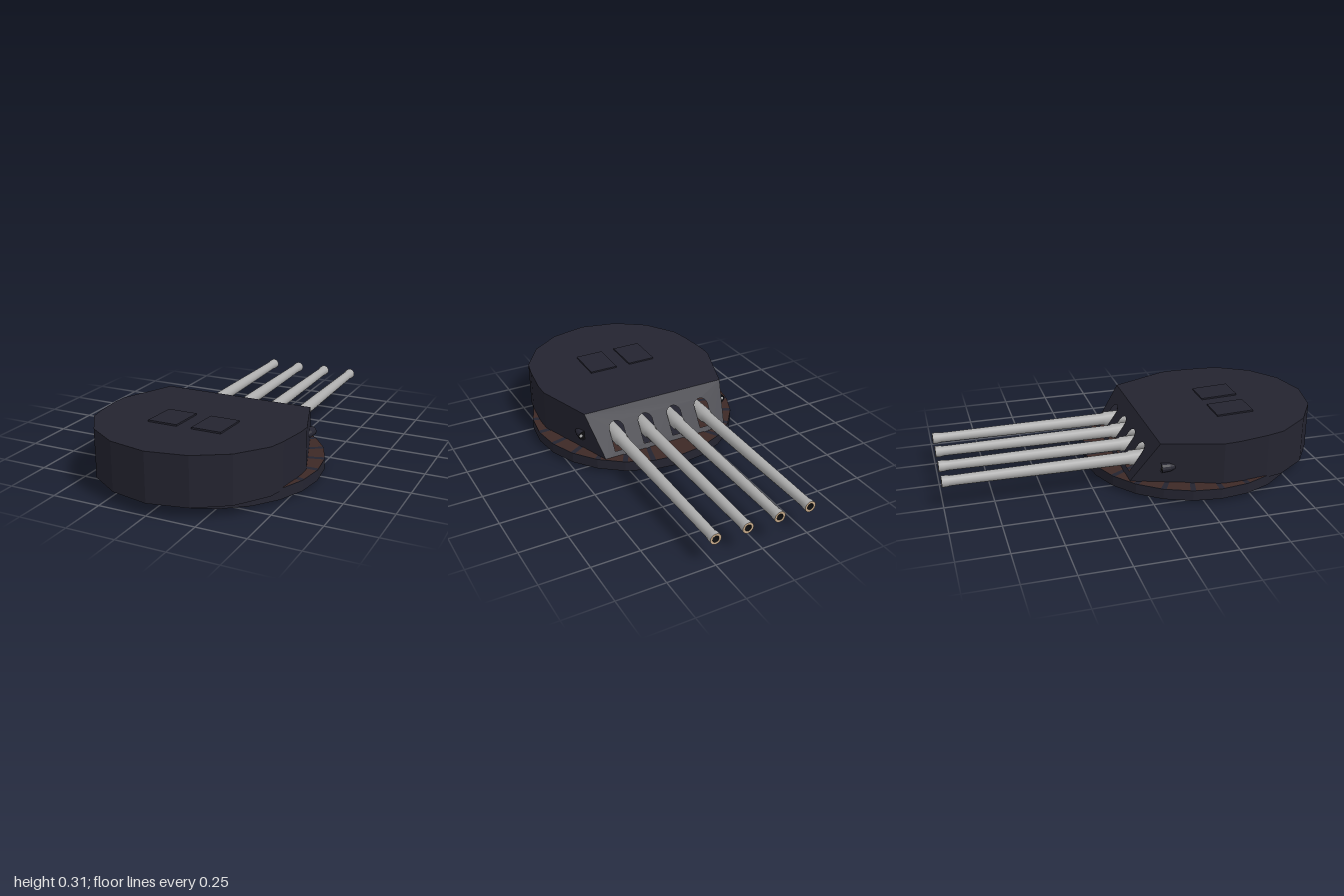
import * as THREE from 'three';

const mat = (name, color, side = THREE.FrontSide, flat = false) => {
  const m = new THREE.MeshStandardMaterial({ color, side, flatShading: flat });
  m.name = name;
  return m;
};

export function createModel() {
  const group = new THREE.Group();
  const navy = mat('dark navy paint', 0x242430, THREE.DoubleSide, true);
  const brown = mat('brown deck', 0x3e2926, THREE.DoubleSide);
  const steel = mat('gun steel', 0xadadad, THREE.DoubleSide);
  const tan = mat('tan metal', 0xc4a888, THREE.DoubleSide);
  const black = mat('bore black', 0x0e0e10, THREE.DoubleSide);
  const add = (name, geo, m, x = 0, y = 0, z = 0, parent = group) => {
    const mesh = new THREE.Mesh(geo, m);
    mesh.name = name;
    mesh.position.set(x, y, z);
    parent.add(mesh);
    return mesh;
  };

  // Round base: 24-sided platform, and the thin bearing ring under it
  const cz = 0.335, sides = 24, R = 0.56;
  add('basePlatform', new THREE.CylinderGeometry(R, R, 0.055, sides), navy, 0, 0.0425, cz);
  add('bearingRing', new THREE.LatheGeometry(
    [[0.488, 0.016], [0.488, 0], [0.497, 0], [0.497, 0.016]].map(p => new THREE.Vector2(...p)), 32), tan, 0, 0, cz);
  add('bearingFloor', new THREE.CylinderGeometry(0.488, 0.488, 0.012, 32), navy, 0, 0.01, cz);

  // Brown deck panels, leaving narrow dark seams between them
  const step = Math.PI * 2 / sides, gap = 0.025;
  const inset = R * Math.cos(step / 2) / Math.cos(step / 2 - gap);
  for (let i = 0; i < sides; i++) {
    const a = i * step + gap, b = (i + 1) * step - gap;
    const at = (r, t) => new THREE.Vector2(r * Math.sin(t), r * Math.cos(t));
    const panel = new THREE.ShapeGeometry(new THREE.Shape([at(0.38, a), at(inset, a), at(inset, b), at(0.38, b)]));
    panel.rotateX(-Math.PI / 2);
    add('deckPanel', panel, brown, 0, 0.072, cz);
  }

  // Gunhouse walls and sloping roof, from half an outline mirrored
  const roofY = z => 0.28 + (z - 0.06) * 0.032;
  const half = [[0.355, -0.09], [0.51, 0.36], [0.51, 0.44], [0.49, 0.6], [0.47, 0.69], [0.36, 0.85], [0.2, 0.955]];
  const outline = [...half, [0, 0.997], ...half.slice().reverse().map(([x, z]) => [-x, z])];
  const bottom = outline.map(([x, z]) => [x, 0.06, z]);
  const top = outline.map(([x, z]) => z < 0 ? [Math.sign(x) * 0.407, 0.28, 0.06] : [x, roofY(z), z]);
  const pos = [];
  for (let i = 0; i < outline.length - 1; i++) {
    pos.push(...bottom[i + 1], ...bottom[i], ...top[i], ...bottom[i + 1], ...top[i], ...top[i + 1]);
    if (i > 0) {
      pos.push(...top[0], ...top[i + 1], ...top[i]);
      pos.push(...bottom[0], ...bottom[i], ...bottom[i + 1]);
    }
  }
  const house = new THREE.BufferGeometry();
  house.setAttribute('position', new THREE.Float32BufferAttribute(pos, 3));
  house.computeVertexNormals();
  add('gunhouse', house, navy);

  // Sloped front plate with a rounded port for each gun
  const gunX = [-0.255, -0.086, 0.086, 0.255];
  const len = Math.hypot(0.22, 0.15);
  const plate = new THREE.Shape([[-0.355, 0], [0.355, 0], [0.407, len], [-0.407, len]].map(p => new THREE.Vector2(...p)));
  for (const x of gunX) {
    const port = new THREE.Path();
    port.moveTo(x - 0.041, 0.04);
    port.lineTo(x - 0.041, 0.155);
    port.absarc(x, 0.155, 0.041, Math.PI, 0, true);
    port.lineTo(x + 0.041, 0.04);
    port.closePath();
    plate.holes.push(port);
  }
  add('frontPlate', new THREE.ShapeGeometry(plate, 8), navy, 0, 0.06, -0.09).rotation.x = Math.atan2(0.15, 0.22);

  // Four guns: collar, tapering barrel, flared muzzle with an open bore
  const barrel = new THREE.LatheGeometry([[0, -0.12], [0.039, -0.12], [0.039, 0.055], [0.033, 0.065], [0.031, 0.4],
    [0.026, 0.92], [0.026, 0.96], [0.029, 0.975], [0.029, 1]].map(p => new THREE.Vector2(...p)), 16);
  const flat = [barrel.toNonIndexed()][0];
  flat.computeVertexNormals();
  barrel.rotateX(-Math.PI / 2);
  const rim = new THREE.RingGeometry(0.017, 0.029, 16).rotateY(Math.PI);
  const bore = new THREE.CylinderGeometry(0.017, 0.017, 0.06, 16, 1, true).rotateX(Math.PI / 2);
  const boreEnd = new THREE.CircleGeometry(0.017, 16).rotateY(Math.PI);
  for (const x of gunX) {
    const gun = new THREE.Group();
    gun.name = 'gun';
    gun.position.set(x, 0.148, 0);
    group.add(gun);
    add('barrel', barrel, steel, 0, 0, 0, gun);
    add('muzzleRim', rim, tan, 0, 0, -1, gun);
    add('bore', bore, black, 0, 0, -0.97, gun);
    add('boreEnd', boreEnd, black, 0, 0, -0.94, gun);
  }

  // Roof hatches
  for (const s of [-1, 1]) {
    add('roofHatch', new THREE.BoxGeometry(0.155, 0.012, 0.2), navy, s * 0.117, 0.2975, 0.54).rotation.x = -0.035;
  }

  // Hooded sights on both side walls
  const hood = new THREE.LatheGeometry([[0, -0.085], [0.014, -0.07], [0.022, -0.045], [0.025, 0]]
    .map(p => new THREE.Vector2(...p)), 12).rotateX(-Math.PI / 2);
  for (const s of [-1, 1]) {
    add('sightHood', hood, navy, s * 0.42, 0.155, 0.06);
    add('sightOpening', new THREE.CircleGeometry(0.023, 12).rotateY(Math.PI), black, s * 0.42, 0.155, 0.065);
    add('sightLens', new THREE.CircleGeometry(0.009, 10).rotateY(Math.PI), steel, s * 0.43, 0.155, 0.063);
  }
  return group;
}
